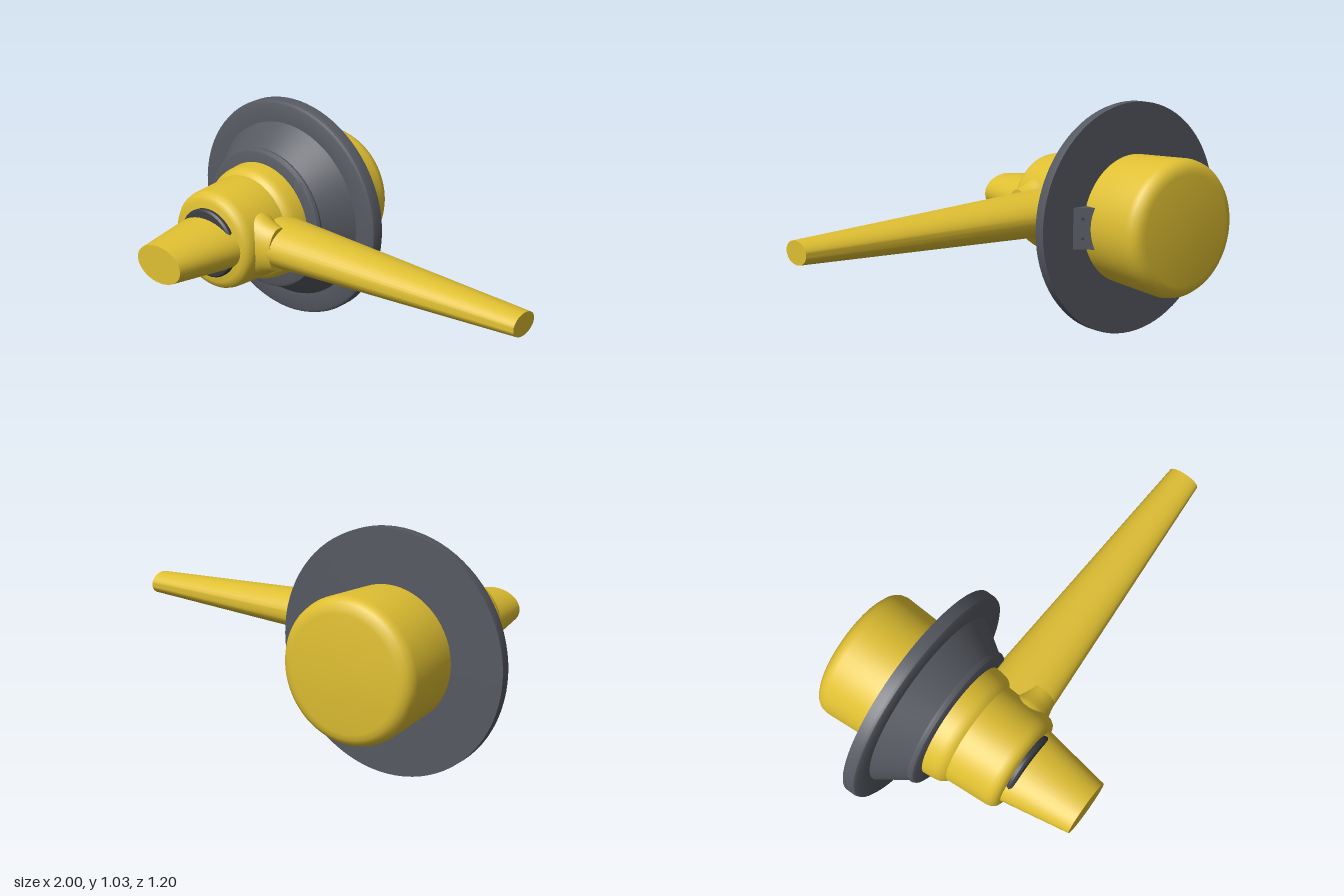
import * as THREE from 'three';
import { toCreasedNormals } from 'three/addons/utils/BufferGeometryUtils.js';

const CX = -0.49, CY = 0.515; // main axis, running along z

export function createModel() {
  const model = new THREE.Group();
  const yellow = new THREE.MeshStandardMaterial({ color: 0xdfbf32 });
  yellow.name = 'yellow';
  const grey = new THREE.MeshStandardMaterial({ color: 0x565961 });
  grey.name = 'grey';
  const dark = new THREE.MeshStandardMaterial({ color: 0x3b3d41 });
  dark.name = 'dark grey';

  const add = (name, geometry, material, x, y, z) => {
    const mesh = new THREE.Mesh(toCreasedNormals(geometry, 0.6), material);
    mesh.name = name;
    mesh.position.set(x, y, z);
    model.add(mesh);
    return mesh;
  };
  // Profile of [radius, position along the axis]
  const lathe = (points, segments = 64) =>
    new THREE.LatheGeometry(points.map(([r, h]) => new THREE.Vector2(r, h)), segments);

  // Stepped, rounded body
  add('body', lathe([
    [0, -0.6], [0.24, -0.6], [0.263, -0.596], [0.283, -0.584], [0.296, -0.565], [0.301, -0.54],
    [0.285, -0.27], [0.268, -0.05], [0.263, 0.005], [0.258, 0.026], [0.248, 0.042], [0.236, 0.052],
    [0.225, 0.245], [0.22, 0.265], [0.208, 0.281], [0.185, 0.29], [0, 0.29],
  ]).rotateX(Math.PI / 2), yellow, CX, CY, 0);

  // Wide flange with a conical hub and a rounded lip
  add('flange', lathe([
    [0, -0.27], [0.513, -0.27], [0.513, -0.23], [0.508, -0.217], [0.495, -0.21], [0.413, -0.21],
    [0.324, -0.078],
  ], 80).rotateX(Math.PI / 2), grey, CX, CY, 0);
  add('flangeLip', lathe([
    [0.2, -0.078], [0.328, -0.078], [0.33, -0.068], [0.324, -0.056], [0.312, -0.05], [0.2, -0.05],
  ]).rotateX(Math.PI / 2), grey, CX, CY, 0);

  // Seal around the root of the front spout
  add('seal', lathe([
    [0, 0.28], [0.155, 0.28], [0.157, 0.305], [0.15, 0.314], [0.138, 0.316], [0, 0.316],
  ], 48).rotateX(Math.PI / 2), dark, CX, CY, 0);

  // Tapered oval spout pointing forward
  add('spout', new THREE.CylinderGeometry(0.127, 0.187, 0.35, 36)
    .rotateX(Math.PI / 2).scale(1, 0.67, 1), yellow, CX, CY, 0.425);

  // Long tapered oval arm pointing left
  add('arm', new THREE.CylinderGeometry(0.073, 0.156, 1.32, 36)
    .rotateZ(-Math.PI / 2).scale(1, 0.68, 1), yellow, 0.34, CY, 0.083);

  // Flared boss joining the arm to the body
  add('armBoss', lathe([
    [0, -0.42], [0.145, -0.42], [0.143, -0.3], [0.134, -0.28], [0.121, -0.258], [0.108, -0.225],
    [0.102, -0.2], [0, -0.2],
  ], 40).rotateZ(-Math.PI / 2).scale(1, 1, 0.66), yellow, 0, CY, 0.162);

  // Wedge bracket behind the flange
  const wedge = new THREE.Shape([
    new THREE.Vector2(-0.24, 0.265), new THREE.Vector2(-0.14, 0.265),
    new THREE.Vector2(-0.215, 0.328), new THREE.Vector2(-0.24, 0.328),
  ]);
  add('bracket', new THREE.ExtrudeGeometry(wedge, { depth: 0.18, bevelEnabled: false })
    .rotateX(-Math.PI / 2), grey, 0, CY - 0.09, 0);

  // Two small screw dots on the sloping face of the bracket
  for (const dy of [-0.043, 0.043]) {
    const dot = add('bracketScrew', new THREE.CylinderGeometry(0.006, 0.006, 0.004, 12)
      .rotateX(Math.PI / 2), dark, -0.1775, CY + dy, -0.2965);
    dot.rotation.y = Math.atan2(0.063, -0.075);
  }
  return model;
}
